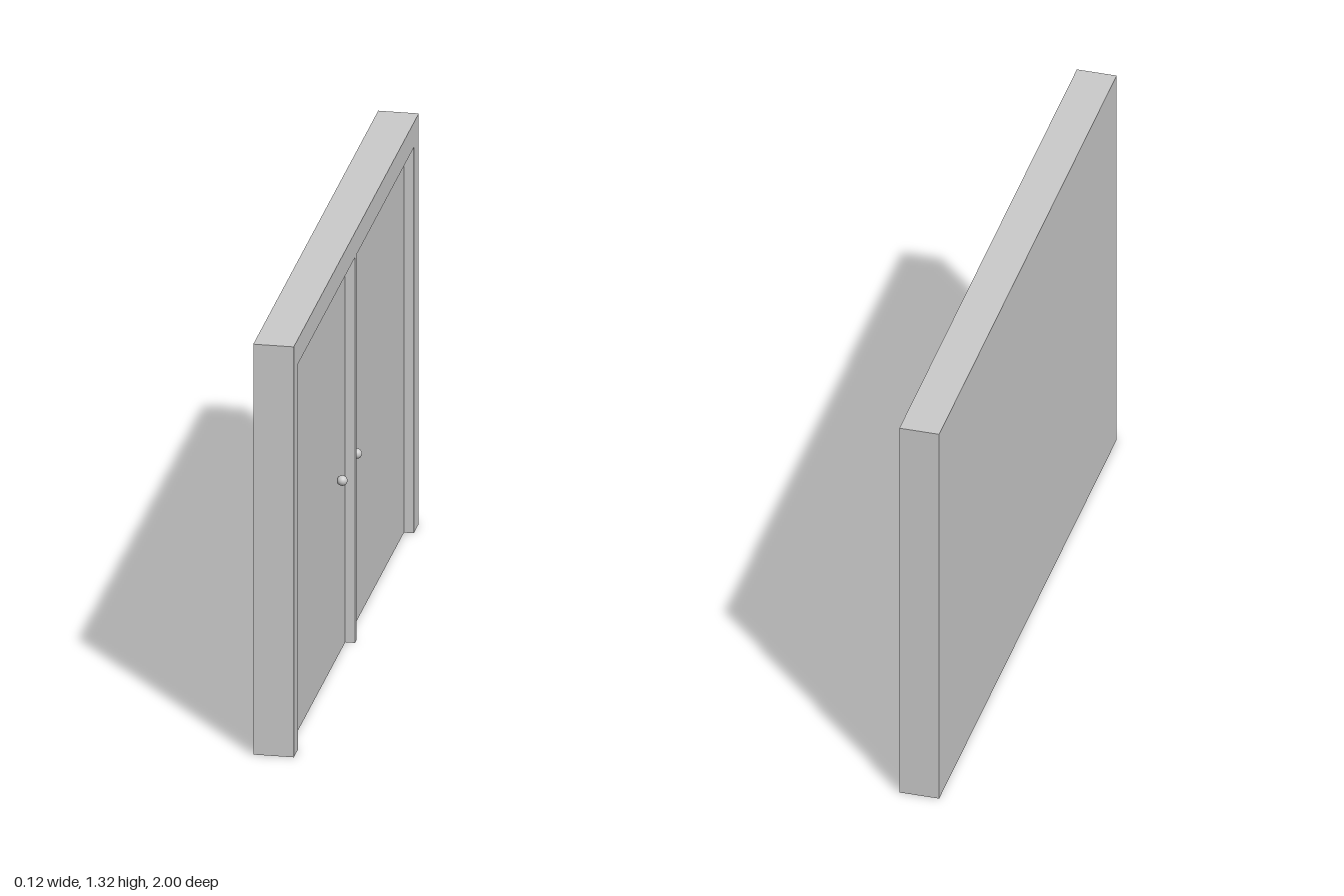
import * as THREE from 'three';

const DEPTH = 0.124;        // full thickness along x
const BACK = -DEPTH / 2;
const HEIGHT = 1.32;
const OPENING = 1.24;       // height of the door openings
const DOOR_FACE = 0.032;    // doors sit slightly behind the frame

const material = new THREE.MeshStandardMaterial({ color: 0xcccccc });

// Box given by its limits on each axis
function addBox(parent, name, [x0, x1], [y0, y1], [z0, z1]) {
  const mesh = new THREE.Mesh(new THREE.BoxGeometry(x1 - x0, y1 - y0, z1 - z0), material);
  mesh.position.set((x0 + x1) / 2, (y0 + y1) / 2, (z0 + z1) / 2);
  mesh.name = name;
  parent.add(mesh);
}

// Round knob on a short stem, lathed around the x axis
function addKnob(parent, name, z) {
  const radius = 0.016, stem = 0.007, centre = 0.013;
  const start = Math.asin(stem / radius);
  const profile = [new THREE.Vector2(stem, 0)];
  for (let i = 0; i <= 12; i++) {
    const a = start + (Math.PI - start) * i / 12;
    profile.push(new THREE.Vector2(Math.max(0, radius * Math.sin(a)), centre - radius * Math.cos(a)));
  }
  // keep the back of the ball from sinking into the door
  profile.forEach((p) => { p.y = Math.max(0, p.y); });
  const knob = new THREE.Mesh(new THREE.LatheGeometry(profile, 24), material);
  knob.rotation.z = -Math.PI / 2;
  knob.position.set(DOOR_FACE, 0.565, z);
  knob.name = name;
  parent.add(knob);
}

export function createModel() {
  const model = new THREE.Group();
  model.name = 'doubleDoor';
  const full = [BACK, -BACK];

  // Frame: header, two jambs and the narrow centre post
  const frame = new THREE.Group();
  frame.name = 'frame';
  addBox(frame, 'header', full, [OPENING, HEIGHT], [-1, 1]);
  addBox(frame, 'frontJamb', full, [0, OPENING], [0.93, 1]);
  addBox(frame, 'rearJamb', full, [0, OPENING], [-1, -0.92]);
  addBox(frame, 'centrePost', full, [0, OPENING], [0, 0.02]);
  model.add(frame);

  // Recessed doors, each with a knob near the centre post
  const doors = [
    { name: 'frontDoor', z: [0.02, 0.93], knob: 0.137 },
    { name: 'rearDoor', z: [-0.92, 0], knob: -0.095 },
  ];
  for (const { name, z, knob } of doors) {
    const door = new THREE.Group();
    door.name = name;
    addBox(door, name + 'Panel', [BACK, DOOR_FACE], [0, OPENING], z);
    addKnob(door, name + 'Knob', knob);
    model.add(door);
  }
  return model;
}
